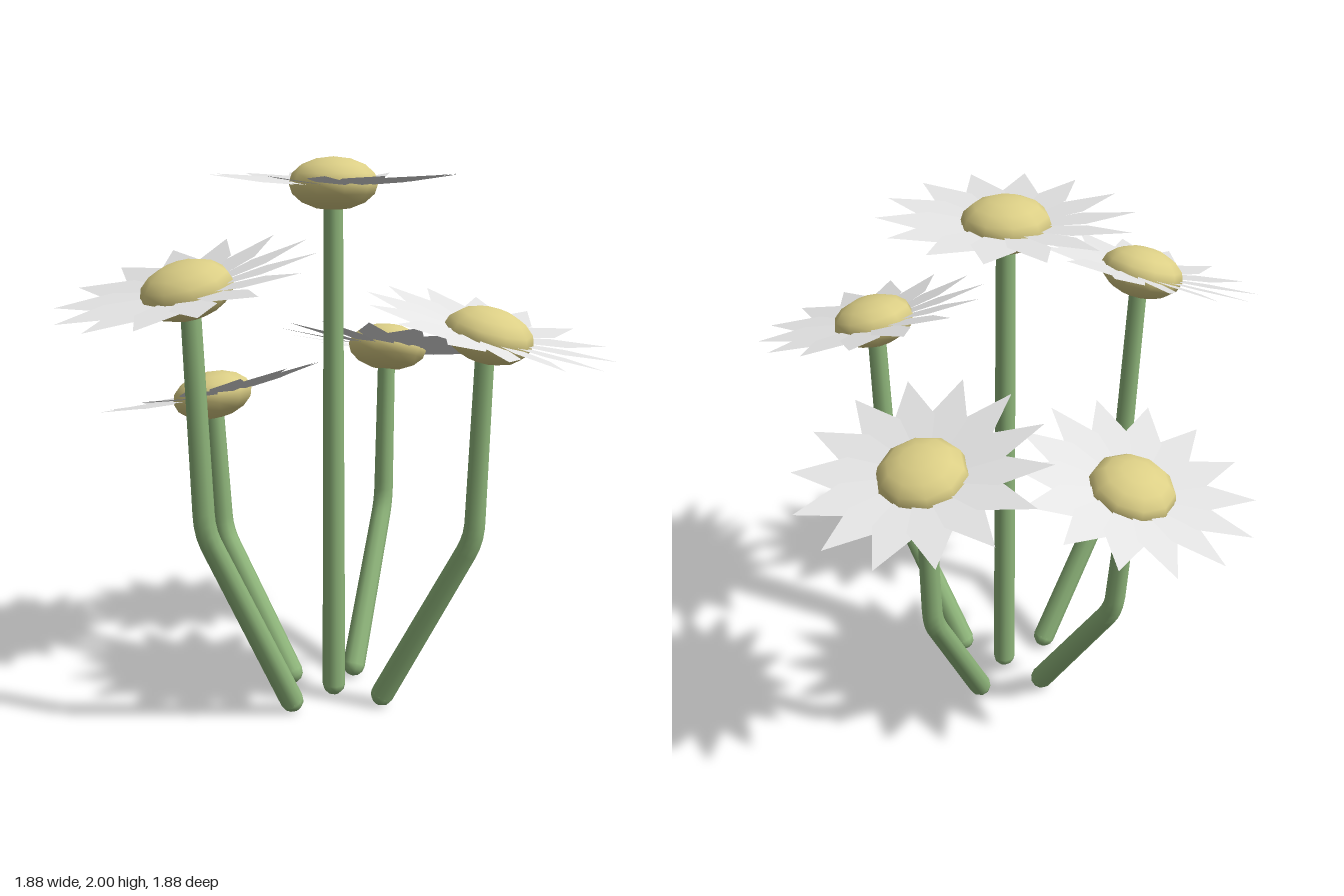
import * as THREE from 'three';

const petalMat = new THREE.MeshStandardMaterial({ color: 0xe4e4e4, side: THREE.DoubleSide });
petalMat.name = 'petal white';
const discMat = new THREE.MeshStandardMaterial({ color: 0xdccf86 });
discMat.name = 'disc yellow';
const stemMat = new THREE.MeshStandardMaterial({ color: 0x8fb67b });
stemMat.name = 'stem green';

const PETALS = 14;
const BASE_R = 0.043, TOP_R = 0.034;

// stem: foot, knee (null when straight); head: centre of the flower, lean and first petal angle in degrees
const flowers = [
  { foot: [-0.03, 0.05, 0.065], knee: null, head: [-0.03, 1.908, 0.06], lean: 0, phase: 0 },
  { foot: [-0.175, 0.045, 0.22], knee: [-0.44, 0.76, 0.48], head: [-0.475, 1.58, 0.51], lean: 17, phase: 12 },
  { foot: [0.155, 0.045, 0.145], knee: [0.475, 0.69, 0.275], head: [0.508, 1.41, 0.285], lean: 15, phase: -5 },
  { foot: [-0.2, 0.045, -0.045], knee: [-0.48, 0.56, -0.225], head: [-0.52, 1.095, -0.25], lean: 16, phase: 1 },
  { foot: [0.037, 0.045, -0.13], knee: [0.14, 0.62, -0.485], head: [0.152, 1.25, -0.52], lean: 16, phase: 9 },
];

// Pointed kite petal lying along -z
function petalGeometry() {
  const g = new THREE.BufferGeometry();
  g.setAttribute('position', new THREE.Float32BufferAttribute([
    -0.025, 0, -0.04, 0.025, 0, -0.04, 0.074, 0, -0.26, 0, 0, -0.44, -0.074, 0, -0.26,
  ], 3));
  g.setIndex([0, 1, 2, 0, 2, 4, 4, 2, 3]);
  g.computeVertexNormals();
  return g;
}

// Tapered stem with a soft bend at the knee
function stemGeometry(foot, knee, top) {
  const path = new THREE.CurvePath();
  if (knee) {
    const a = knee.clone().add(foot.clone().sub(knee).setLength(0.06));
    const b = knee.clone().add(top.clone().sub(knee).setLength(0.06));
    path.add(new THREE.LineCurve3(foot, a));
    path.add(new THREE.QuadraticBezierCurve3(a, knee, b));
    path.add(new THREE.LineCurve3(b, top));
  } else {
    path.add(new THREE.LineCurve3(foot, top));
  }
  const rings = 40, sides = 10;
  const g = new THREE.TubeGeometry(path, rings, 1, sides, false);
  const p = g.attributes.position, v = new THREE.Vector3();
  for (let i = 0; i <= rings; i++) {
    const c = path.getPointAt(i / rings);
    const r = THREE.MathUtils.lerp(BASE_R, TOP_R, i / rings);
    for (let j = 0; j <= sides; j++) {
      const k = i * (sides + 1) + j;
      v.fromBufferAttribute(p, k).sub(c).multiplyScalar(r).add(c);
      p.setXYZ(k, v.x, v.y, v.z);
    }
  }
  return g;
}

function mesh(name, geometry, material) {
  const m = new THREE.Mesh(geometry, material);
  m.name = name;
  return m;
}

export function createModel() {
  const model = new THREE.Group();
  model.name = 'daisies';
  const petalGeo = petalGeometry();
  const discGeo = new THREE.SphereGeometry(0.157, 10, 8);
  discGeo.scale(1, 0.59, 1);
  const footGeo = new THREE.SphereGeometry(BASE_R, 10, 6);
  const up = new THREE.Vector3(0, 1, 0);

  for (const f of flowers) {
    const flower = new THREE.Group();
    flower.name = 'flower';
    const foot = new THREE.Vector3(...f.foot);
    const knee = f.knee && new THREE.Vector3(...f.knee);
    const centre = new THREE.Vector3(...f.head);

    // The head leans outwards from the middle of the bunch
    const lean = THREE.MathUtils.degToRad(f.lean);
    const out = new THREE.Vector3(f.head[0] + 0.03, 0, f.head[2] - 0.06).normalize();
    const normal = up.clone().multiplyScalar(Math.cos(lean)).addScaledVector(out, Math.sin(lean));

    const top = centre.clone().addScaledVector(normal, -0.04);
    flower.add(mesh('stem', stemGeometry(foot, knee, top), stemMat));
    const end = mesh('stemFoot', footGeo, stemMat);
    end.position.copy(foot);
    end.quaternion.setFromUnitVectors(up, (knee || top).clone().sub(foot).normalize());
    flower.add(end);

    const head = new THREE.Group();
    head.name = 'flowerHead';
    head.position.copy(centre);
    head.quaternion.setFromUnitVectors(up, normal);
    head.add(mesh('disc', discGeo, discMat));

    // Ring of slightly raised and rolled petals
    for (let i = 0; i < PETALS; i++) {
      const petal = mesh('petal', petalGeo, petalMat);
      const turn = THREE.MathUtils.degToRad(f.phase) + (i / PETALS) * Math.PI * 2;
      petal.rotation.set(0.1, -turn, 0.1, 'YXZ');
      petal.position.y = -0.012;
      head.add(petal);
    }
    flower.add(head);
    model.add(flower);
  }
  return model;
}
